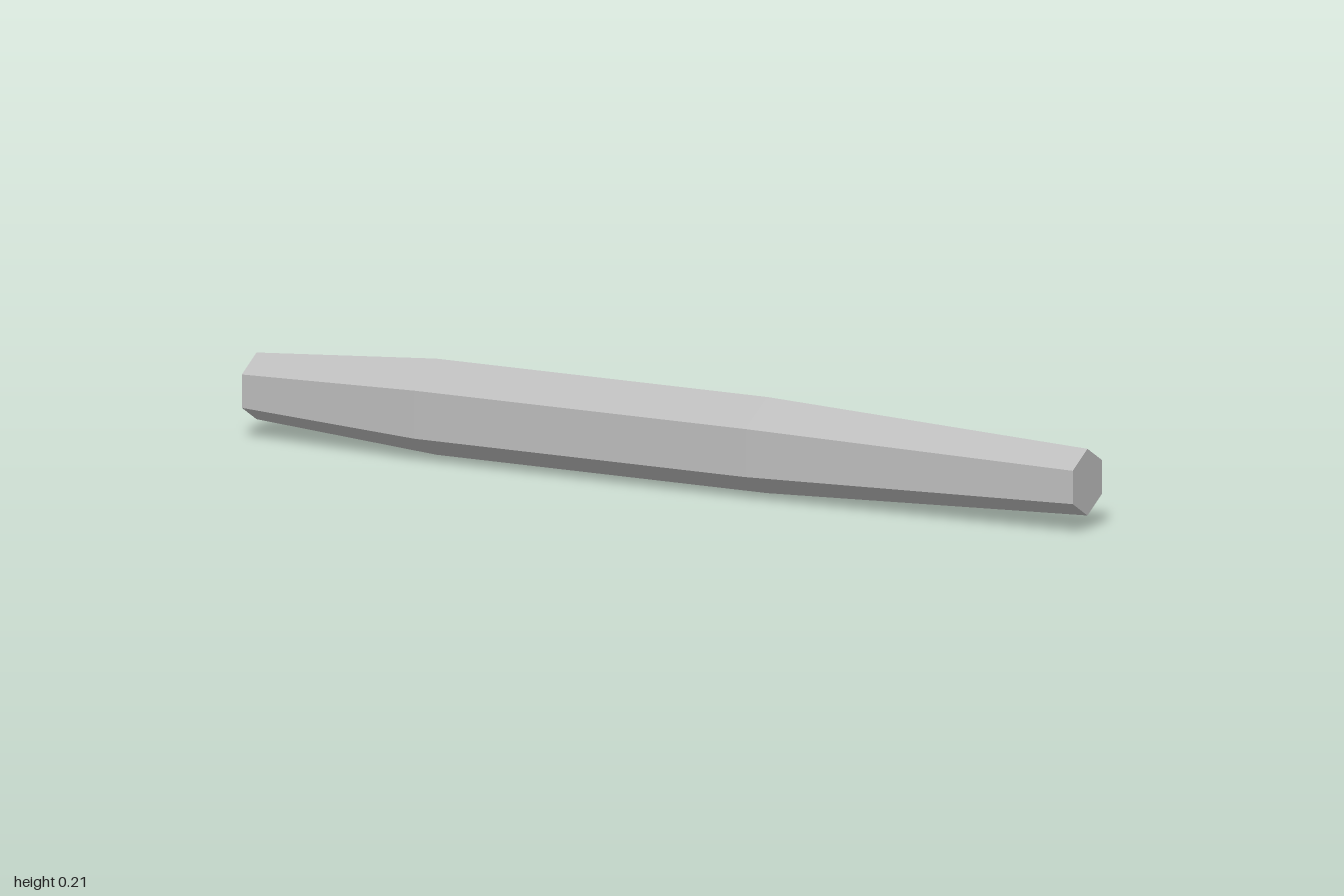
import * as THREE from 'three';

const CY = 0.104, CZ = 0.05;          // axis of the body
const X1 = -0.567, X2 = 0.23;         // ends of the straight middle section
const R_MID = 0.103, R_END = 0.0715;

export function createModel() {
  const group = new THREE.Group();
  const grey = new THREE.MeshStandardMaterial({ color: 0xbcbcbc, flatShading: true });
  grey.name = 'plainGrey';

  // Six-sided barrel, tapered and capped at both ends
  const profile = [[0, -1], [R_END, -1], [R_MID, X1], [R_MID, X2], [R_END, 1], [0, 1]]
    .map(([r, x]) => new THREE.Vector2(r, x));
  let barrelGeo = new THREE.LatheGeometry(profile, 6, Math.PI / 2);
  barrelGeo.rotateZ(-Math.PI / 2);
  const bp = barrelGeo.attributes.position;
  for (let i = 0; i < bp.count; i++) {
    // the middle is slightly wider than a regular hexagon
    const widen = Math.abs(bp.getX(i)) < 0.9 ? 1.054 : 1.01;
    bp.setZ(i, bp.getZ(i) * widen);
  }
  barrelGeo.translate(0, CY, CZ);
  barrelGeo = barrelGeo.toNonIndexed();
  barrelGeo.computeVertexNormals();
  const barrel = new THREE.Mesh(barrelGeo, grey);
  barrel.name = 'barrel';
  group.add(barrel);

  // Pocket clip: outline in x and -z, as tall as the barrel's rear face
  const outline = [
    [-1, 0.0125], [X1, 0.044], [-0.585, 0.095], [-0.055, 0.095],
    [-0.07, 0.144], [-0.605, 0.144], [-0.97, 0.052],
  ].map(([x, s]) => new THREE.Vector2(x, s));
  const clipGeo = new THREE.ExtrudeGeometry(new THREE.Shape(outline), { depth: 1, bevelEnabled: false });
  clipGeo.rotateX(-Math.PI / 2);
  const cp = clipGeo.attributes.position;
  for (let i = 0; i < cp.count; i++) {
    const t = THREE.MathUtils.clamp((cp.getX(i) + 1) / (X1 + 1), 0, 1);
    const height = THREE.MathUtils.lerp(R_END, R_MID, t);
    cp.setY(i, CY + (cp.getY(i) - 0.5) * height);
  }
  clipGeo.computeVertexNormals();
  const clip = new THREE.Mesh(clipGeo, grey);
  clip.name = 'pocketClip';
  group.add(clip);

  return group;
}
